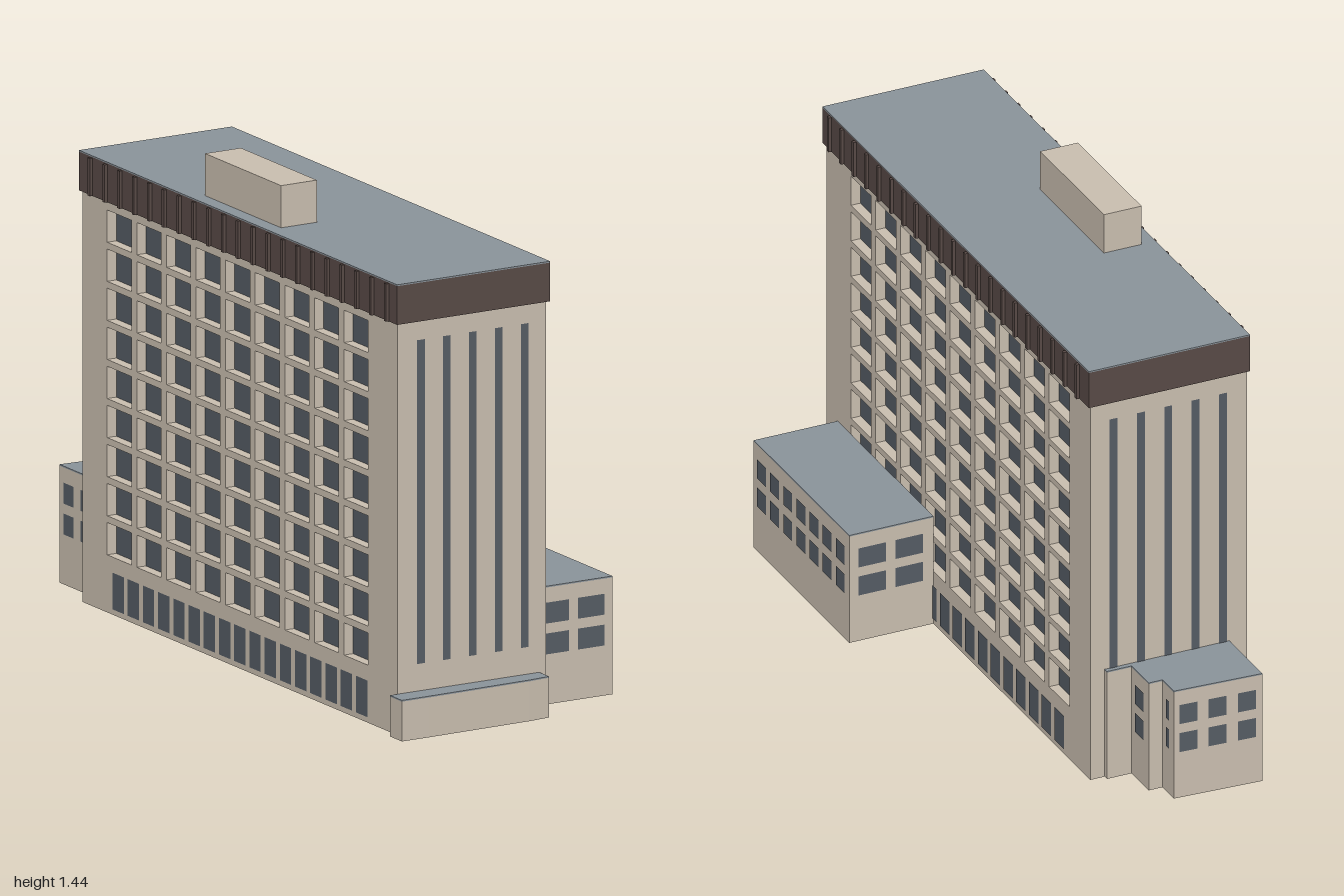
import * as THREE from 'three';

const material = (name, color) => {
  const m = new THREE.MeshStandardMaterial({ color });
  m.name = name;
  return m;
};

export function createModel() {
  const concrete = material('concrete', 0xc9beaf);
  const glass = material('glass', 0x555c64);
  const brown = material('brown cladding', 0x584a46);
  const roofGrey = material('roof grey', 0x8a939a);

  const model = new THREE.Group();
  model.name = 'towerBlock';

  const section = (name) => {
    const g = new THREE.Group();
    g.name = name;
    model.add(g);
    return g;
  };
  const add = (parent, name, geometry, mat) => {
    const m = new THREE.Mesh(geometry, mat);
    m.name = name;
    parent.add(m);
    return m;
  };
  // Box given by its limits on each axis
  const box = (parent, name, mat, x0, x1, y0, y1, z0, z1) => {
    const m = add(parent, name, new THREE.BoxGeometry(x1 - x0, y1 - y0, z1 - z0), mat);
    m.position.set((x0 + x1) / 2, (y0 + y1) / 2, (z0 + z1) / 2);
    return m;
  };
  // Upright prism over a floor plan of [x, z] points
  const prism = (parent, name, mat, plan, y0, y1) => {
    const shape = new THREE.Shape(plan.map(([x, z]) => new THREE.Vector2(x, -z)));
    const geo = new THREE.ExtrudeGeometry(shape, { depth: y1 - y0, bevelEnabled: false });
    geo.rotateX(-Math.PI / 2);
    add(parent, name, geo, mat).position.y = y0;
  };
  const lowBlock = (parent, name, plan, height) => {
    prism(parent, name + 'Walls', concrete, plan, 0, height - 0.004);
    prism(parent, name + 'Roof', roofGrey, plan, height - 0.004, height);
  };
  // Flat pane facing the direction given by the turn around y
  const pane = (parent, x, y, z, w, h, turn) => {
    const m = add(parent, 'window', new THREE.PlaneGeometry(w, h), glass);
    m.position.set(x + Math.sin(turn) * 0.002, y, z + Math.cos(turn) * 0.002);
    m.rotation.y = turn;
  };
  const RIGHT = Math.PI / 2, LEFT = -Math.PI / 2, FRONT = 0, BACK = Math.PI;

  // Main tower: glass core behind two pierced long walls and two solid end walls
  const X0 = -0.365, X1 = 0.125, Z0 = -0.785, Z1 = 0.935, H = 1.2, T = 0.03;
  const tower = section('tower');
  box(tower, 'glassCore', glass, X0 + T, X1 - T, 0, H, Z0 + T, Z1 - T);
  box(tower, 'frontWall', concrete, X0 + T, X1 - T, 0, H, Z1 - T, Z1);
  box(tower, 'backWall', concrete, X0 + T, X1 - T, 0, H, Z0, Z0 + T);

  const wall = new THREE.Shape([
    new THREE.Vector2(-Z1, 0), new THREE.Vector2(-Z0, 0),
    new THREE.Vector2(-Z0, H), new THREE.Vector2(-Z1, H),
  ]);
  for (let col = 0; col < 9; col++) {
    for (let row = 0; row < 9; row++) {
      const u = -0.709 + col * 0.1615, v = 0.215 + row * 0.114;
      const w = 0.066, h = 0.047;
      wall.holes.push(new THREE.Path([
        new THREE.Vector2(u - w, v - h), new THREE.Vector2(u - w, v + h),
        new THREE.Vector2(u + w, v + h), new THREE.Vector2(u + w, v - h),
      ]));
    }
  }
  const wallGeo = new THREE.ExtrudeGeometry(wall, { depth: T, bevelEnabled: false });
  wallGeo.rotateY(Math.PI / 2);
  add(tower, 'rightWall', wallGeo, concrete).position.x = X1 - T;
  add(tower, 'leftWall', wallGeo, concrete).position.x = X0;

  // Ground floor windows on both long sides
  for (let i = 0; i < 17; i++) {
    const z = -0.586 + i * 0.083;
    pane(tower, X1, 0.07, z, 0.062, 0.107, RIGHT);
    pane(tower, X0, 0.07, z, 0.062, 0.107, LEFT);
  }
  // Tall window strips on both ends
  for (let i = 0; i < 5; i++) {
    const x = -0.289 + i * 0.0855;
    pane(tower, x, 0.672, Z1, 0.025, 0.945, FRONT);
    pane(tower, x, 0.672, Z0, 0.025, 0.945, BACK);
  }

  // Brown crown with upright fins, grey roof and plant room
  const crown = section('crown');
  box(crown, 'crownBand', brown, -0.371, 0.133, H, 1.313, -0.793, 0.943);
  box(crown, 'roof', roofGrey, -0.371, 0.133, 1.313, 1.317, -0.793, 0.943);
  for (let i = 0; i < 21; i++) {
    const z = -0.725 + i * 0.0808;
    box(crown, 'fin', brown, 0.133, 0.142, H, 1.31, z - 0.006, z + 0.006);
    box(crown, 'fin', brown, -0.38, -0.371, H, 1.31, z - 0.006, z + 0.006);
  }
  box(crown, 'plantRoom', concrete, -0.326, -0.208, 1.317, 1.44, -0.18, 0.235);

  // Side wing with two rows of windows
  const rows = [0.177, 0.267];
  const wing = section('sideWing');
  lowBlock(wing, 'wing', [[X1, 0.238], [0.388, 0.238], [0.388, 0.861], [X1, 0.861]], 0.345);
  for (const y of rows) {
    for (let i = 0; i < 7; i++) pane(wing, 0.388, y, 0.293 + i * 0.0855, 0.058, 0.061, RIGHT);
    for (const x of [0.201, 0.317]) {
      pane(wing, x, y, 0.861, 0.086, 0.061, FRONT);
      pane(wing, x, y, 0.238, 0.086, 0.061, BACK);
    }
  }

  // Stepped annex at the back
  const annex = section('backAnnex');
  lowBlock(annex, 'annex', [
    [-0.31, Z0], [-0.31, -1], [-0.04, -0.986], [-0.04, -0.912],
    [0.003, -0.912], [0.003, -0.8], [0.08, -0.8], [0.08, Z0],
  ], 0.345);
  const slant = Math.atan2(0.014, -0.27);
  for (const y of rows) {
    for (const x of [-0.262, -0.173, -0.084]) {
      pane(annex, x, y, -1 + (x + 0.31) * 0.0519, 0.055, 0.061, slant);
    }
    for (const z of [-0.948, -0.855]) pane(annex, -0.31, y, z, 0.053, 0.061, LEFT);
    pane(annex, 0.003, y, -0.853, 0.055, 0.061, RIGHT);
    pane(annex, -0.04, y, -0.949, 0.018, 0.061, RIGHT);
  }

  // Low plinth at the front
  lowBlock(section('frontPlinth'), 'plinth', [
    [-0.39, Z1], [0.102, Z1], [0.102, 0.988], [0.035, 0.994], [-0.3, 1], [-0.39, 1],
  ], 0.12);

  return model;
}
